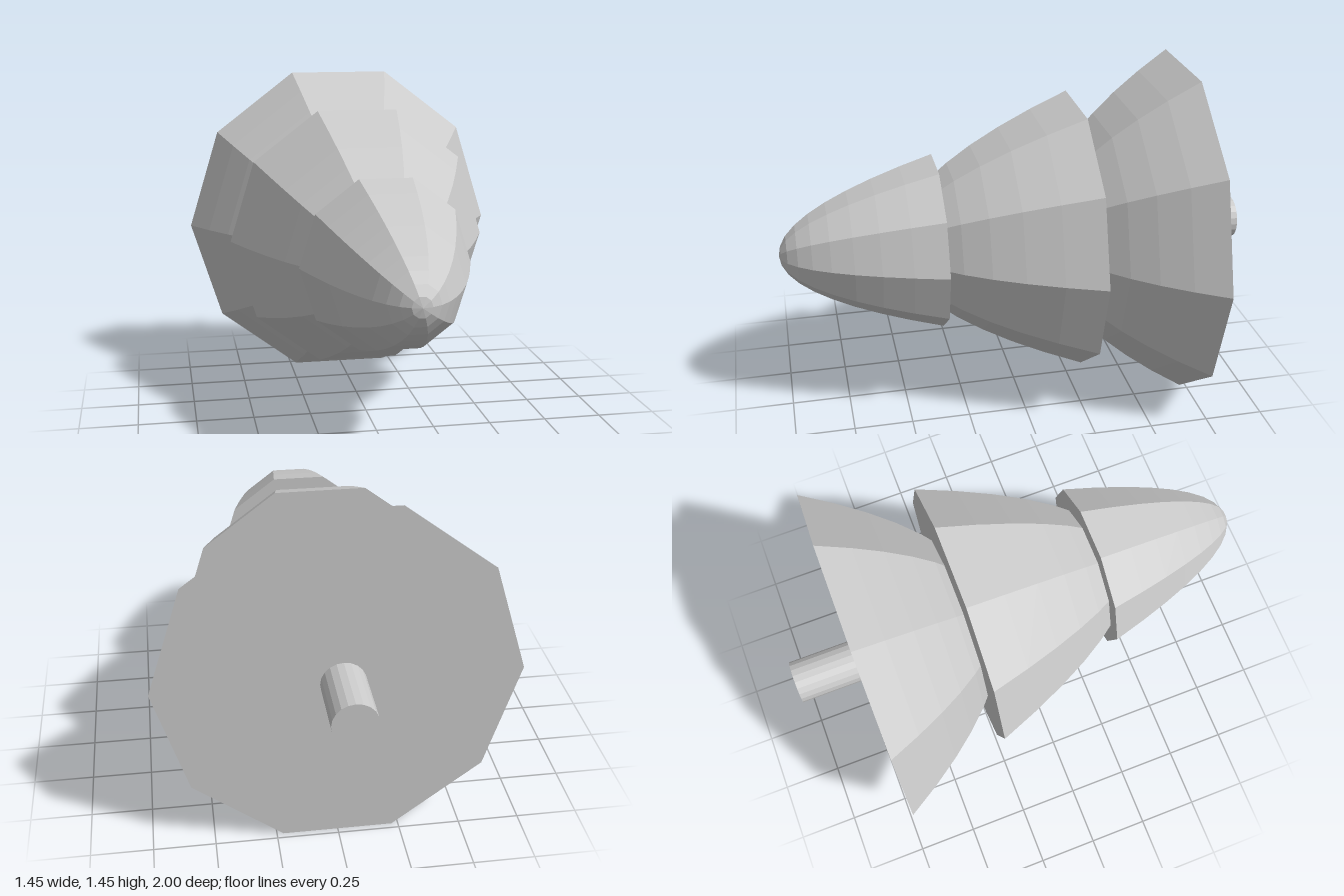
import * as THREE from 'three';

const SIDES = 10;
const RINGS = 9;

// Closed ten-sided paraboloid along z, with its apex towards the front
function tier(name, material, { x, y, apex, back, radius }) {
  const points = [new THREE.Vector2(0, back)];
  for (let i = RINGS; i >= 0; i--) {
    const t = i / RINGS;
    points.push(new THREE.Vector2(radius * t, apex - (apex - back) * t * t));
  }
  const geometry = new THREE.LatheGeometry(points, SIDES, Math.PI / 2);
  geometry.rotateX(Math.PI / 2);
  // Stretch the height so flat top and bottom sides reach the full radius
  geometry.scale(1, 1 / Math.sin(Math.PI * 0.4), 1);
  const mesh = new THREE.Mesh(geometry, material);
  mesh.name = name;
  mesh.position.set(x, y, 0);
  return mesh;
}

export function createModel() {
  const model = new THREE.Group();
  model.name = 'tree';
  const material = new THREE.MeshStandardMaterial({ color: 0xcccccc, flatShading: true });

  // Foliage tiers, from the tip to the base
  model.add(
    tier('topFoliage', material, { x: 0.02, y: 0.75, apex: 1, back: 0.335, radius: 0.355 }),
    tier('middleFoliage', material, { x: 0.01, y: 0.74, apex: 0.513, back: -0.265, radius: 0.575 }),
    tier('bottomFoliage', material, { x: 0, y: 0.728, apex: -0.107, back: -0.725, radius: 0.723 })
  );

  // Trunk, set slightly into the lowest tier
  const trunkGeometry = new THREE.CylinderGeometry(0.09, 0.09, 0.3, 20);
  trunkGeometry.rotateX(Math.PI / 2);
  const trunk = new THREE.Mesh(trunkGeometry, material);
  trunk.name = 'trunk';
  trunk.position.set(-0.015, 0.72, -0.85);
  model.add(trunk);

  return model;
}
